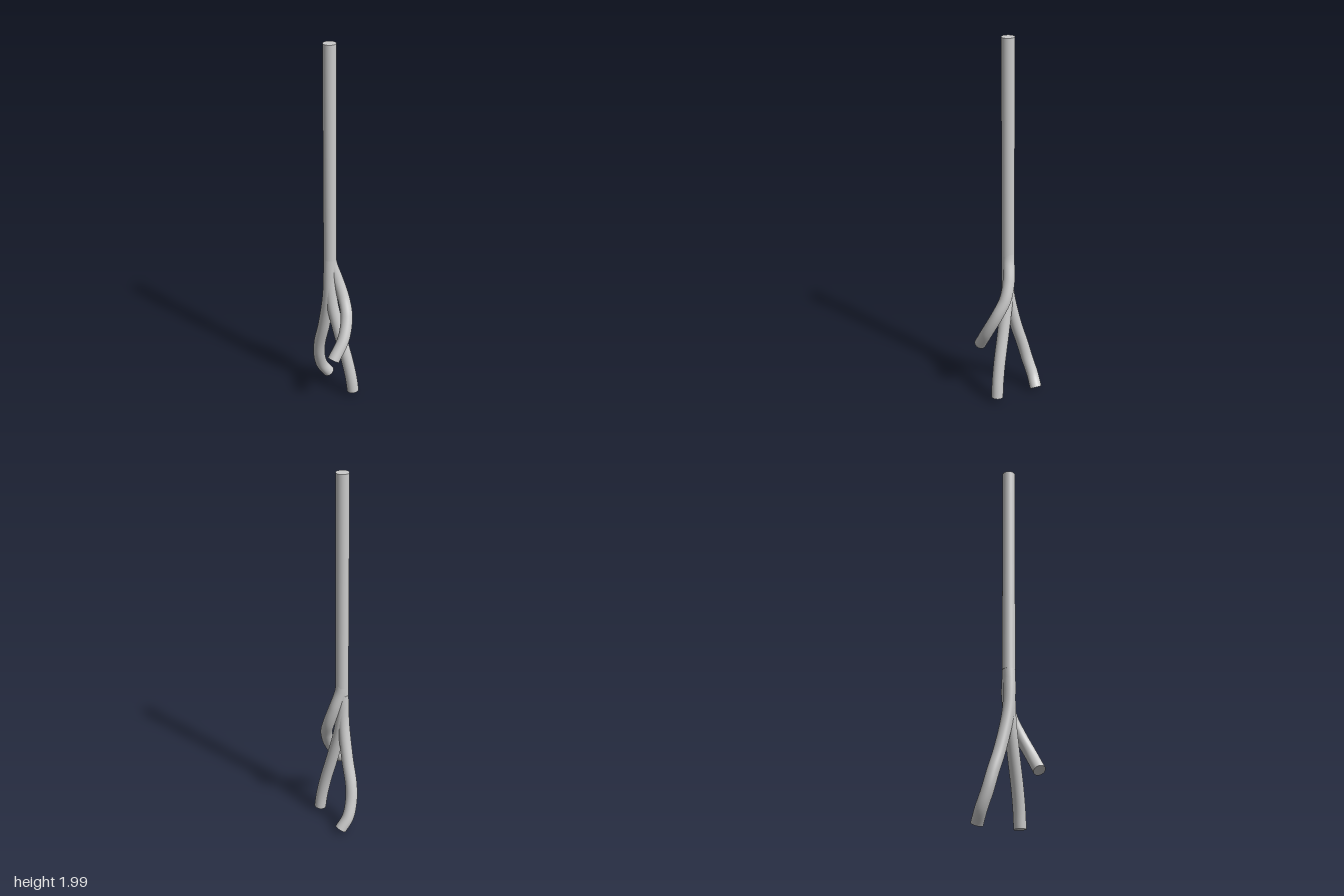
import * as THREE from 'three';
import { mergeGeometries } from 'three/addons/utils/BufferGeometryUtils.js';

const SIDES = 32;
const material = new THREE.MeshStandardMaterial({ color: 0xcccccc });

// Flat disc closing a tube end, facing along the given direction
function cap(center, direction, radius) {
  const disc = new THREE.CircleGeometry(radius, SIDES);
  const turn = new THREE.Quaternion().setFromUnitVectors(new THREE.Vector3(0, 0, 1), direction);
  return disc.applyQuaternion(turn).translate(center.x, center.y, center.z);
}

// Smooth closed tube through a few points
function vessel(name, radius, points, segments = 64) {
  const curve = new THREE.CatmullRomCurve3(points.map((p) => new THREE.Vector3(...p)), false, 'centripetal');
  const geometry = mergeGeometries([
    new THREE.TubeGeometry(curve, segments, radius, SIDES),
    cap(curve.getPoint(0), curve.getTangent(0).negate(), radius),
    cap(curve.getPoint(1), curve.getTangent(1), radius),
  ]);
  const mesh = new THREE.Mesh(geometry, material);
  mesh.name = name;
  return mesh;
}

export function createModel() {
  const group = new THREE.Group();
  group.name = 'branchingTube';

  // Long straight trunk
  group.add(vessel('trunk', 0.034, [[-0.033, 0.83, 0], [-0.033, 2, 0]], 1));

  // Short branch: swings to the left, then curls forward
  group.add(vessel('frontBranch', 0.032, [
    [-0.033, 0.87, 0], [-0.027, 0.8, -0.003], [0.005, 0.7, -0.008], [0.037, 0.6, 0.008],
    [0.053, 0.51, 0.05], [0.035, 0.4, 0.105], [-0.02, 0.297, 0.15],
  ]));

  // Long branch: swings to the right, then curls backward
  group.add(vessel('backBranch', 0.032, [
    [-0.033, 0.87, 0], [-0.037, 0.73, 0.004], [-0.042, 0.6, -0.002], [-0.066, 0.4, -0.04],
    [-0.088, 0.27, -0.075], [-0.091, 0.18, -0.099], [-0.075, 0.09, -0.131], [-0.038, 0.026, -0.153],
  ]));

  // Long branch leaning to the left
  group.add(vessel('sideBranch', 0.032, [
    [-0.036, 0.78, 0.002], [-0.035, 0.68, 0.003], [-0.022, 0.56, 0.006], [0.013, 0.4, 0.02],
    [0.058, 0.22, 0.038], [0.08, 0.11, 0.045], [0.09, 0.033, 0.047],
  ]));

  return group;
}
